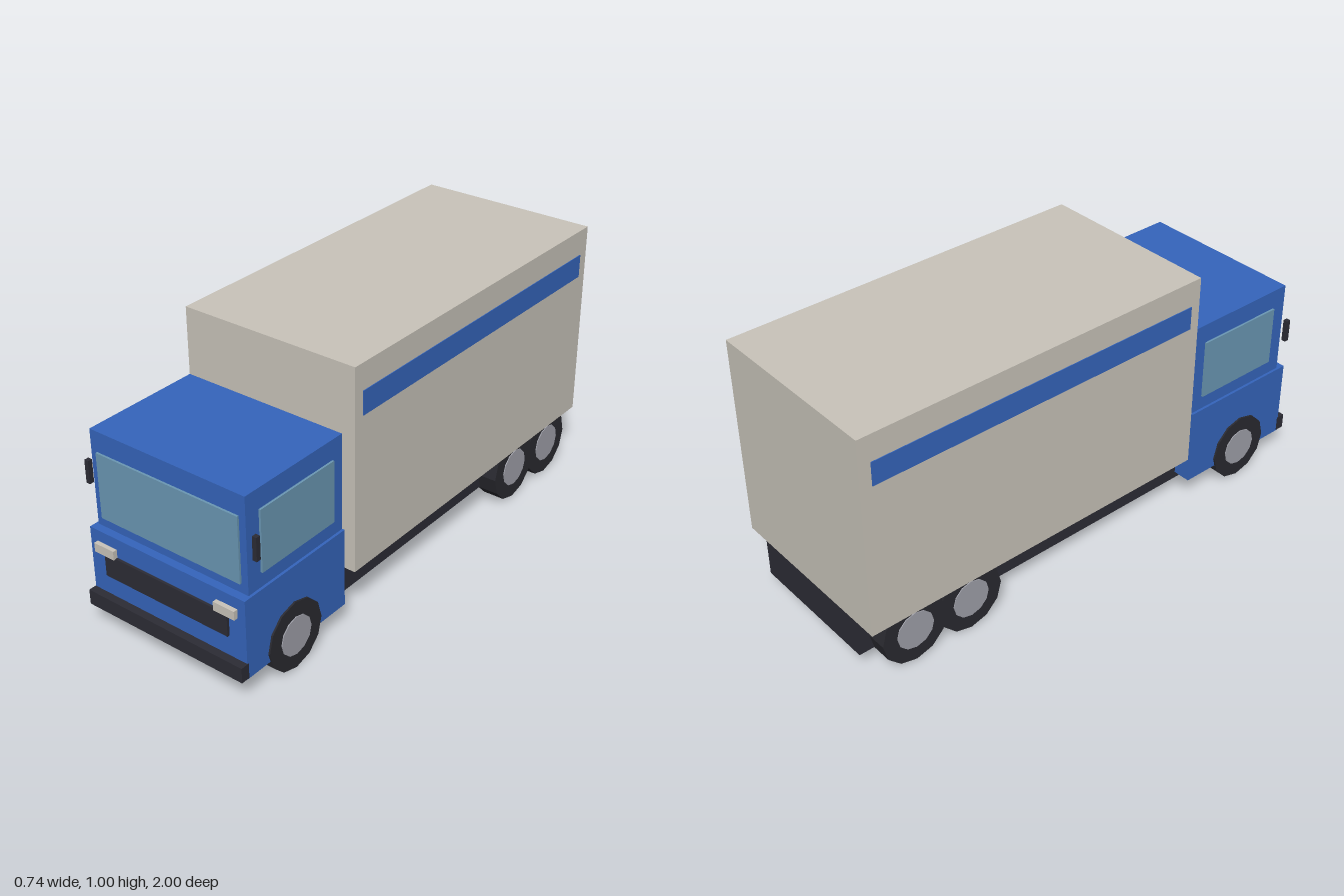
import * as THREE from 'three';

const mat = (name, color) => {
  const m = new THREE.MeshStandardMaterial({ color });
  m.name = name;
  return m;
};

export function createModel() {
  const truck = new THREE.Group();
  truck.name = 'boxTruck';

  const blue = mat('cabBlue', 0x3565bc);
  const cream = mat('cargoCream', 0xc9c4ba);
  const dark = mat('chassisDark', 0x2c2c35);
  const rubber = mat('tyreRubber', 0x2a2a30);
  const glass = mat('windowGlass', 0x6b98b4);
  const steel = mat('hubSteel', 0xa0a1aa);

  // Box given by its extents along each axis
  const box = (name, material, [x0, x1], [y0, y1], [z0, z1]) => {
    const mesh = new THREE.Mesh(new THREE.BoxGeometry(x1 - x0, y1 - y0, z1 - z0), material);
    mesh.position.set((x0 + x1) / 2, (y0 + y1) / 2, (z0 + z1) / 2);
    mesh.name = name;
    truck.add(mesh);
  };
  // The same box on the left (+x) and right (-x)
  const pair = (name, material, [x0, x1], y, z) => {
    box(name + 'Left', material, [x0, x1], y, z);
    box(name + 'Right', material, [-x1, -x0], y, z);
  };

  // Chassis and cargo body
  box('chassis', dark, [-0.27, 0.27], [0.07, 0.22], [-0.998, 0.968]);
  box('cargoBox', cream, [-0.36, 0.36], [0.22, 1], [-1, 0.44]);
  pair('cargoStripe', blue, [0.359, 0.363], [0.81, 0.9], [-0.955, 0.4]);

  // Cab
  box('cabLower', blue, [-0.34, 0.34], [0.096, 0.4], [0.47, 0.97]);
  box('cabUpper', blue, [-0.33, 0.33], [0.4, 0.765], [0.47, 0.94]);
  box('windshield', glass, [-0.303, 0.303], [0.437, 0.687], [0.939, 0.948]);
  pair('sideWindow', glass, [0.329, 0.338], [0.457, 0.69], [0.52, 0.88]);
  pair('mirror', dark, [0.353, 0.37], [0.545, 0.633], [0.922, 0.94]);

  // Front details
  box('grille', dark, [-0.27, 0.27], [0.238, 0.325], [0.965, 0.98]);
  pair('headlight', cream, [0.22, 0.308], [0.323, 0.357], [0.965, 0.987]);
  box('bumper', dark, [-0.342, 0.342], [0.1, 0.158], [0.965, 1]);

  // Wheels: one front axle, two rear axles
  const R = 0.132;
  const tyreGeo = new THREE.CylinderGeometry(R, R, 0.087, 12).toNonIndexed().rotateZ(Math.PI / 2);
  const hubGeo = new THREE.CylinderGeometry(0.075, 0.075, 0.09, 12).toNonIndexed().rotateZ(Math.PI / 2);
  tyreGeo.computeVertexNormals();
  hubGeo.computeVertexNormals();
  const axles = { front: 0.737, middle: -0.587, rear: -0.822 };
  for (const [axle, z] of Object.entries(axles)) {
    for (const side of [1, -1]) {
      const wheel = new THREE.Group();
      wheel.name = axle + 'Wheel' + (side > 0 ? 'Left' : 'Right');
      const tyre = new THREE.Mesh(tyreGeo, rubber);
      tyre.name = 'tyre';
      const hub = new THREE.Mesh(hubGeo, steel);
      hub.name = 'hub';
      hub.position.x = side * 0.002;
      wheel.add(tyre, hub);
      wheel.position.set(side * 0.3035, R, z);
      truck.add(wheel);
    }
  }
  return truck;
}
